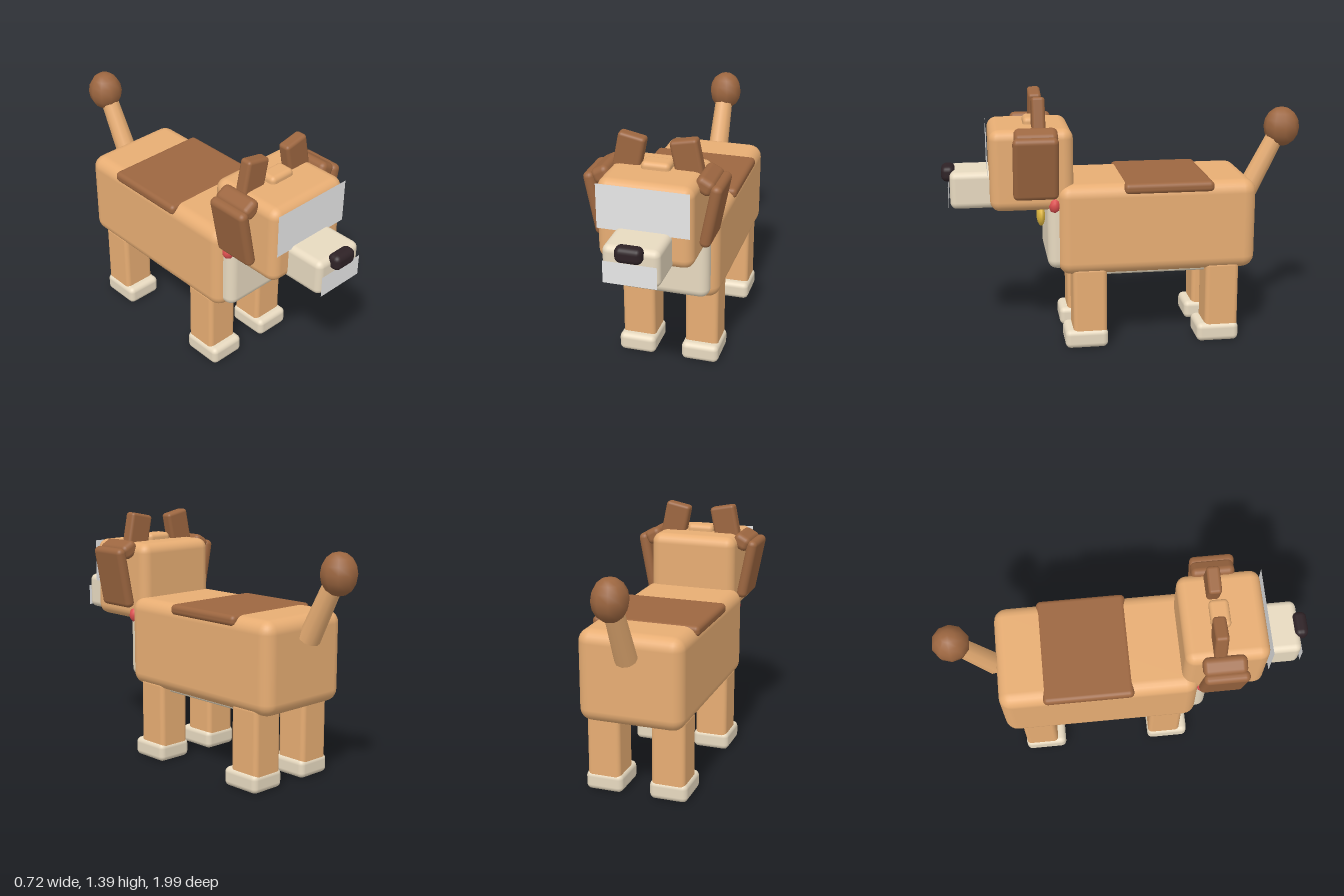
import * as THREE from 'three';
import { RoundedBoxGeometry } from 'three/addons/geometries/RoundedBoxGeometry.js';

const paint = (name, color, extra = {}) => {
  const m = new THREE.MeshStandardMaterial({ color, ...extra });
  m.name = name;
  return m;
};

export function createModel() {
  const model = new THREE.Group();
  model.name = 'dog';

  const tan = paint('tan fur', 0xf0b478);
  const brown = paint('brown fur', 0x9c6640);
  const cream = paint('cream fur', 0xfff0d4);
  const dark = paint('dark nose', 0x2e2226);
  const red = paint('red collar', 0xe05050);
  const gold = paint('gold tag', 0xf8cc48);
  const white = paint('white plate', 0xffffff, { side: THREE.DoubleSide });

  const add = (name, geometry, material, x = 0, y = 0, z = 0) => {
    const mesh = new THREE.Mesh(geometry, material);
    mesh.name = name;
    mesh.position.set(x, y, z);
    model.add(mesh);
    return mesh;
  };
  // Rounded box given by its limits on each axis
  const box = (name, material, [x0, x1], [y0, y1], [z0, z1], r) =>
    add(name, new RoundedBoxGeometry(x1 - x0, y1 - y0, z1 - z0, 3, r), material,
      (x0 + x1) / 2, (y0 + y1) / 2, (z0 + z1) / 2);

  // Trunk
  box('body', tan, [-0.29, 0.29], [0.42, 0.92], [-0.695, 0.39], 0.07);
  box('belly', cream, [-0.22, 0.22], [0.40, 0.5], [-0.55, 0.3], 0.02);
  box('chest', cream, [-0.25, 0.25], [0.45, 0.83], [0.3, 0.445], 0.05);
  box('saddlePatch', brown, [-0.297, 0.297], [0.865, 0.925], [-0.455, 0.035], 0.025);

  // Collar with its tag
  const collar = add('collar', new THREE.CapsuleGeometry(0.05, 0.44, 4, 8), red, 0, 0.81, 0.405);
  collar.rotation.z = Math.PI / 2;
  collar.scale.z = 0.7;
  add('tag', new THREE.SphereGeometry(0.065, 12, 8), gold, 0, 0.7, 0.465).scale.z = 0.38;

  // Head
  box('head', tan, [-0.25, 0.25], [0.78, 1.22], [0.3, 0.745], 0.055);
  box('muzzle', cream, [-0.147, 0.147], [0.78, 0.98], [0.7, 0.955], 0.035);
  box('nose', dark, [-0.07, 0.07], [0.915, 1.0], [0.925, 1.0], 0.03);
  box('foreheadTuft', tan, [-0.077, 0.077], [1.18, 1.257], [0.45, 0.555], 0.025);
  add('eyePlate', new THREE.PlaneGeometry(0.48, 0.24), white, 0, 1.087, 0.755);
  add('mouthPlate', new THREE.PlaneGeometry(0.275, 0.118), white, 0, 0.847, 0.965);

  for (const [side, s] of [['left', 1], ['right', -1]]) {
    // Ears: upright tuft, root and hanging flap
    add(side + 'UprightEar', new RoundedBoxGeometry(0.145, 0.26, 0.07, 3, 0.018), brown,
      s * 0.157, 1.247, 0.48).rotation.z = s * 0.2;
    add(side + 'EarRoot', new RoundedBoxGeometry(0.1, 0.085, 0.23, 3, 0.03), brown,
      s * 0.267, 1.183, 0.5).rotation.z = -s * 0.5;
    add(side + 'EarFlap', new RoundedBoxGeometry(0.06, 0.345, 0.24, 3, 0.028), brown,
      s * 0.303, 1.025, 0.505).rotation.z = -s * 0.19;

    // Legs and paws
    for (const [end, z] of [['Front', 0.222], ['Back', -0.512]]) {
      const x = s * 0.181;
      box(side + end + 'Leg', tan, [x - 0.093, x + 0.093], [0.05, 0.46], [z - 0.093, z + 0.093], 0.025);
      box(side + end + 'Paw', cream, [x - 0.105, x + 0.105], [0, 0.105], [z - 0.098, z + 0.138], 0.03);
    }
  }

  // Tail leaning back, with a ball tip
  add('tail', new THREE.CylinderGeometry(0.05, 0.06, 0.38, 10), tan, 0, 0.97, -0.795).rotation.x = -0.47;
  add('tailTip', new THREE.SphereGeometry(0.1, 10, 8), brown, 0, 1.158, -0.897).scale.set(0.95, 1.12, 1);

  return model;
}
